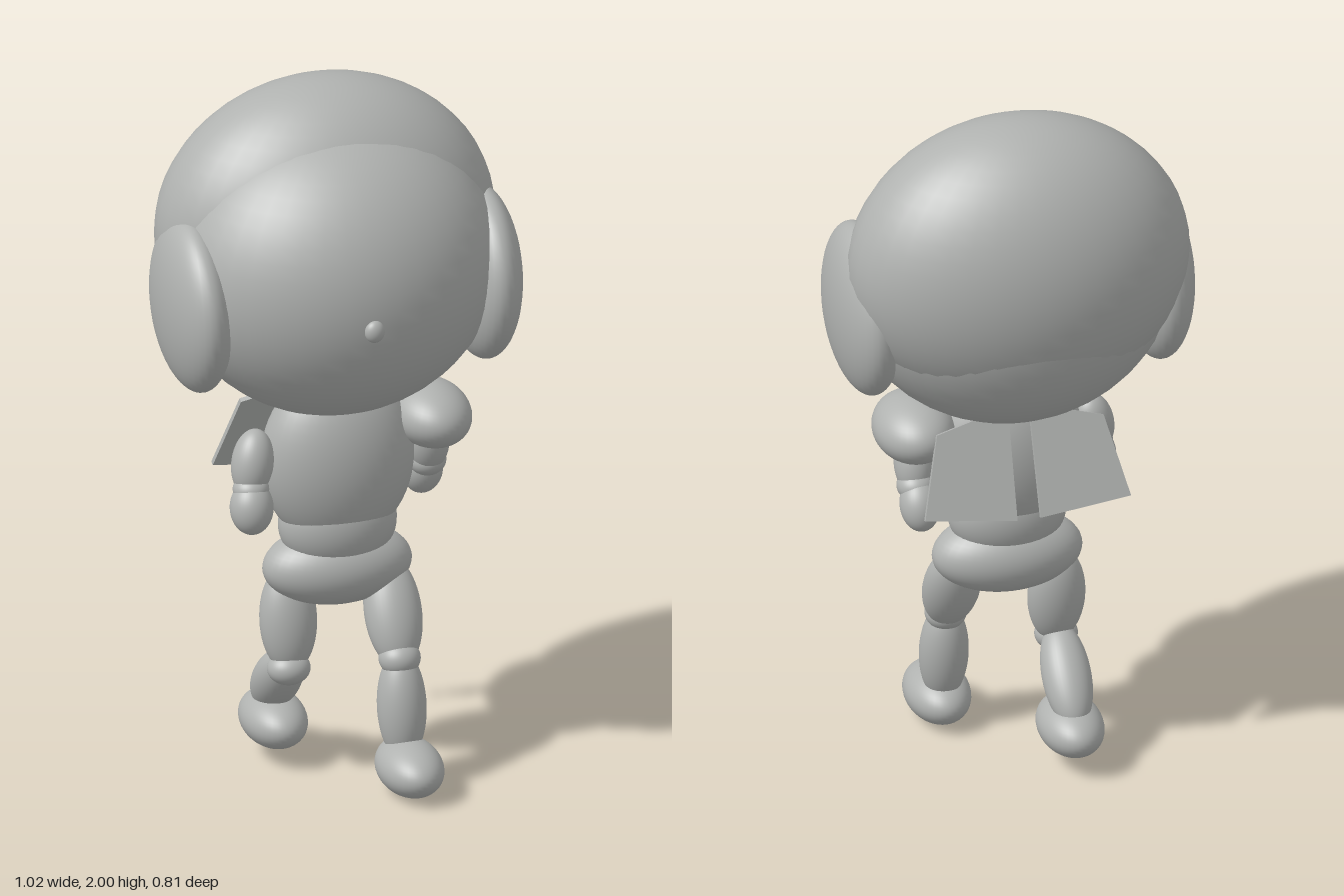
import * as THREE from 'three';

export function createModel() {
  const model = new THREE.Group();
  model.name = 'figure';
  const clay = new THREE.MeshStandardMaterial({ color: 0xb0b2b0 });
  clay.name = 'clay grey';
  const ball = new THREE.SphereGeometry(1, 40, 28);

  // Ellipsoid from a centre and three radii
  function ellipsoid(name, centre, radii, tilt = 0) {
    const mesh = new THREE.Mesh(ball, clay);
    mesh.name = name;
    mesh.position.set(...centre);
    mesh.scale.set(...radii);
    mesh.rotation.z = tilt;
    model.add(mesh);
    return mesh;
  }

  // Ellipsoid stretched between two tips
  function limb(name, from, to, rx, rz = rx) {
    const a = new THREE.Vector3(...from), b = new THREE.Vector3(...to);
    const mid = a.clone().add(b).multiplyScalar(0.5);
    const mesh = ellipsoid(name, mid.toArray(), [rx, a.distanceTo(b) / 2, rz]);
    mesh.quaternion.setFromUnitVectors(new THREE.Vector3(0, 1, 0), a.sub(b).normalize());
  }

  // Head
  ellipsoid('face', [0, 1.488, 0], [0.458, 0.422, 0.385]);
  ellipsoid('hair', [0, 1.58, -0.09], [0.476, 0.42, 0.316]);
  ellipsoid('nose', [0, 1.44, 0.383], [0.028, 0.032, 0.022]);
  for (const [name, side] of [['leftEar', 1], ['rightEar', -1]]) {
    ellipsoid(name, [0.412 * side, 1.423, 0.02], [0.097, 0.244, 0.236], -0.03 * side);
  }

  // Body
  ellipsoid('chest', [0, 0.93, 0.032], [0.215, 0.26, 0.143]);
  ellipsoid('waist', [0, 0.74, 0.033], [0.166, 0.14, 0.118]);
  ellipsoid('hips', [0, 0.613, 0.03], [0.21, 0.113, 0.125]);

  // Left leg, stepping forward
  limb('leftThigh', [0.137, 0.62, 0.03], [0.137, 0.34, 0.175], 0.08, 0.07);
  ellipsoid('leftKnee', [0.137, 0.368, 0.165], [0.058, 0.05, 0.056]);
  limb('leftShin', [0.137, 0.39, 0.165], [0.137, 0.08, 0.205], 0.068);
  ellipsoid('leftFoot', [0.14, 0.079, 0.248], [0.09, 0.075, 0.142]);

  // Right leg, trailing
  limb('rightThigh', [-0.137, 0.61, 0], [-0.137, 0.31, 0.045], 0.08, 0.066);
  ellipsoid('rightKnee', [-0.143, 0.325, 0.048], [0.06, 0.047, 0.055]);
  limb('rightShin', [-0.143, 0.36, 0.045], [-0.143, 0.14, -0.17], 0.068, 0.066);
  ellipsoid('rightFoot', [-0.143, 0.118, -0.1], [0.09, 0.075, 0.142]);

  // Left arm under the shoulder pad
  ellipsoid('shoulderPad', [0.263, 1.028, 0.035], [0.112, 0.09, 0.15], -0.1);
  limb('leftUpperArm', [0.265, 1.02, 0.045], [0.27, 0.84, -0.015], 0.055);
  ellipsoid('leftElbow', [0.268, 0.87, -0.01], [0.053, 0.045, 0.055]);
  limb('leftHand', [0.265, 0.895, -0.01], [0.265, 0.758, -0.075], 0.056);

  // Right arm
  limb('rightUpperArm', [-0.235, 1.045, 0.05], [-0.268, 0.86, 0.08], 0.058);
  ellipsoid('rightElbow', [-0.262, 0.885, 0.085], [0.05, 0.04, 0.05]);
  limb('rightHand', [-0.262, 0.91, 0.085], [-0.267, 0.762, 0.115], 0.06);

  // Two plates sloping out from the back
  const flap = new THREE.Group();
  flap.name = 'backPlates';
  flap.position.set(0, 1.09, -0.095);
  flap.rotation.x = 0.37;
  model.add(flap);
  for (const [name, side] of [['leftBackPlate', 1], ['rightBackPlate', -1]]) {
    const corners = [[0.03, 0.03], [0.235, -0.025], [0.29, -0.255], [0.033, -0.285]];
    const shape = new THREE.Shape(corners.map(([x, y]) => new THREE.Vector2(x * side, y)));
    const plate = new THREE.Mesh(
      new THREE.ExtrudeGeometry(shape, { depth: 0.015, bevelEnabled: false }), clay);
    plate.name = name;
    plate.position.z = -0.0075;
    flap.add(plate);
  }

  return model;
}
